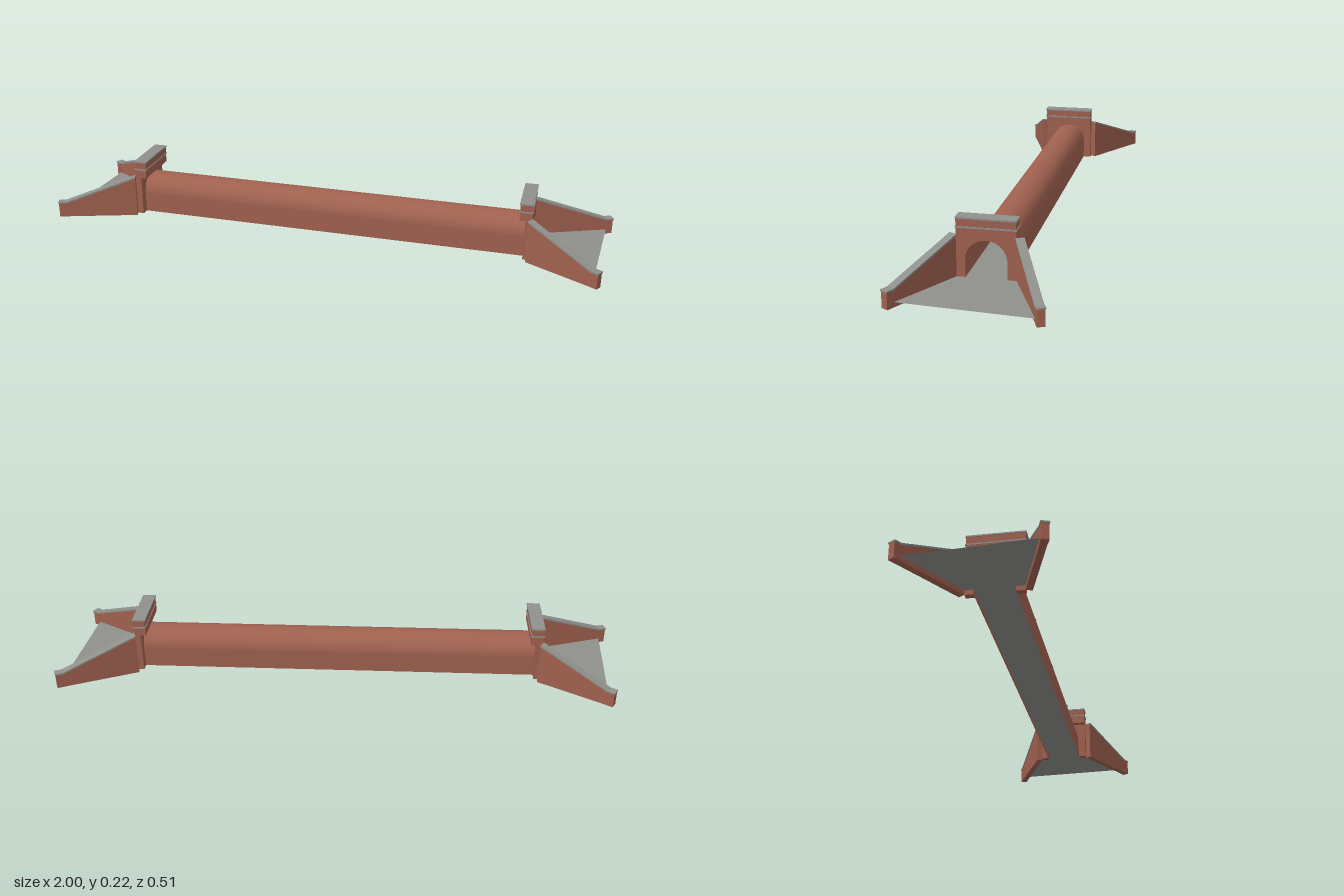
import * as THREE from 'three';
import { mergeGeometries } from 'three/addons/utils/BufferGeometryUtils.js';

const R = 0.065, SPRING = 0.072, FACE = 0.727, HALF = 0.093, Z0 = 0.005, FLOOR = 0.016;

export function createModel() {
  const brick = new THREE.MeshStandardMaterial({ color: 0xa0614f });
  brick.name = 'brick';
  const shell = new THREE.MeshStandardMaterial({ color: 0xa0614f, side: THREE.DoubleSide });
  shell.name = 'brick lining';
  const stone = new THREE.MeshStandardMaterial({ color: 0x8f908c });
  stone.name = 'stone';
  const paving = new THREE.MeshStandardMaterial({ color: 0x8f908b, side: THREE.DoubleSide });
  paving.name = 'paving';

  const add = (parent, name, geo, mat, x = 0, y = 0, z = 0) => {
    const m = new THREE.Mesh(geo, mat);
    m.name = name;
    m.position.set(x, y, z);
    parent.add(m);
    return m;
  };
  const box = (parent, name, mat, w, h, d, x, y, z) =>
    add(parent, name, new THREE.BoxGeometry(w, h, d), mat, x, y, z);
  const extrude = (pts, depth) => new THREE.ExtrudeGeometry(
    new THREE.Shape(pts.map(p => new THREE.Vector2(...p))), { depth, bevelEnabled: false });

  // Sloping wing wall with coping and end post; runs from the portal corner to (ex, ez)
  function wing(parent, name, z0, side, ex, ez) {
    const sz = z0 + side * HALF, dx = ex - FACE, dz = ez - sz;
    const len = Math.hypot(dx, dz), t = 0.022, post = 0.024, a = len - post;
    const g = new THREE.Group();
    g.name = name;
    g.position.set(FACE, 0, sz);
    g.rotation.y = -Math.atan2(dz, dx);
    parent.add(g);
    const mid = side * t / 2;
    add(g, 'wingWall', extrude([[0, 0], [a, 0], [a, 0.052], [0, 0.147]], t), brick, 0, 0, mid - t / 2);
    add(g, 'wingCoping', extrude([[0, 0.147], [a, 0.052], [a, 0.058], [0, 0.153]], t + 0.006),
      stone, 0, 0, mid - t / 2 - 0.003);
    box(g, 'endPost', brick, post, 0.053, t + 0.002, a + post / 2, 0.0265, mid);
    box(g, 'endPostCap', stone, post + 0.004, 0.005, t + 0.006, a + post / 2, 0.0555, mid);
    // Weep hole pipe through the wall
    const pipe = new THREE.CylinderGeometry(0.002, 0.002, t + 0.004, 8).rotateX(Math.PI / 2);
    add(g, 'wingWeepPipe', pipe, brick, len * 0.5, 0.018, mid);
  }

  // Portal facing +x, with parapet, string course, cap and two wings
  function portal(name, z0, front, back) {
    const g = new THREE.Group();
    g.name = name;
    const s = new THREE.Shape();
    s.moveTo(-HALF, 0);
    s.lineTo(-R, 0);
    s.lineTo(-R, SPRING);
    s.absarc(0, SPRING, R, Math.PI, 0, true);
    s.lineTo(R, 0);
    s.lineTo(HALF, 0);
    s.lineTo(HALF, 0.143);
    s.lineTo(-HALF, 0.143);
    const wall = new THREE.ExtrudeGeometry(s, { depth: 0.022, bevelEnabled: false, curveSegments: 32 });
    add(g, 'portalWall', wall.rotateY(Math.PI / 2), brick, FACE - 0.022, 0, z0);
    const d = 0.042, cx = FACE - d / 2;
    box(g, 'parapet', brick, d, 0.0585, 2 * HALF, cx, 0.17225, z0);
    box(g, 'stringCourse', stone, d + 0.004, 0.005, 2 * HALF + 0.005, cx, 0.1755, z0);
    box(g, 'parapetCap', stone, d + 0.005, 0.005, 2 * HALF + 0.004, cx, 0.204, z0);
    wing(g, 'frontWing', z0, 1, ...front);
    wing(g, 'backWing', z0, -1, ...back);
    return g;
  }

  const tilted = new THREE.Group();
  tilted.name = 'culvert';
  tilted.rotation.z = -0.0062;
  tilted.position.y = 0.0062;

  // Arched barrel: half cylinder on two straight side walls
  const L = 1.42;
  const barrel = mergeGeometries([
    new THREE.CylinderGeometry(R, R, L, 40, 1, true, 0, Math.PI).rotateZ(Math.PI / 2).translate(0, SPRING, 0),
    new THREE.PlaneGeometry(L, SPRING).translate(0, SPRING / 2, R),
    new THREE.PlaneGeometry(L, SPRING).rotateY(Math.PI).translate(0, SPRING / 2, -R),
  ]);
  add(tilted, 'barrel', barrel, shell, 0, 0, Z0);

  // Drain pipes through one side of the barrel
  for (const x of [-0.37, 0, 0.37]) {
    const pipe = new THREE.CylinderGeometry(0.004, 0.004, 0.013, 10).rotateX(Math.PI / 2);
    add(tilted, 'drainPipe', pipe, brick, x, 0.089, Z0 + 0.058);
  }

  // Portals, the second one turned half round
  tilted.add(portal('leftPortal', Z0, [0.97, 0.234], [0.996, -0.206]));
  const other = portal('rightPortal', -Z0, [0.97, 0.234], [0.998, -0.19]);
  other.rotation.y = Math.PI;
  tilted.add(other);

  // Paved invert with a splayed apron at each end
  const a = Z0 + HALF, b = Z0 - HALF;
  const floor = new THREE.ShapeGeometry(new THREE.Shape([
    [0.71, Z0 + R], [FACE, Z0 + R], [FACE, a], [0.947, 0.221], [0.975, -0.196], [FACE, b], [FACE, Z0 - R], [0.71, Z0 - R],
    [-FACE, Z0 - R], [-FACE, b], [-0.95, -0.222], [-0.976, 0.182], [-FACE, a], [-FACE, Z0 + R],
  ].map(p => new THREE.Vector2(...p))));
  floor.rotateX(Math.PI / 2);
  // Turn the faces so the paving faces up
  const idx = floor.index.array;
  for (let i = 0; i < idx.length; i += 3) [idx[i], idx[i + 1]] = [idx[i + 1], idx[i]];
  floor.computeVertexNormals();
  add(tilted, 'pavedFloor', floor, paving, 0, FLOOR, 0);

  const model = new THREE.Group();
  model.name = 'model';
  model.add(tilted);
  return model;
}
